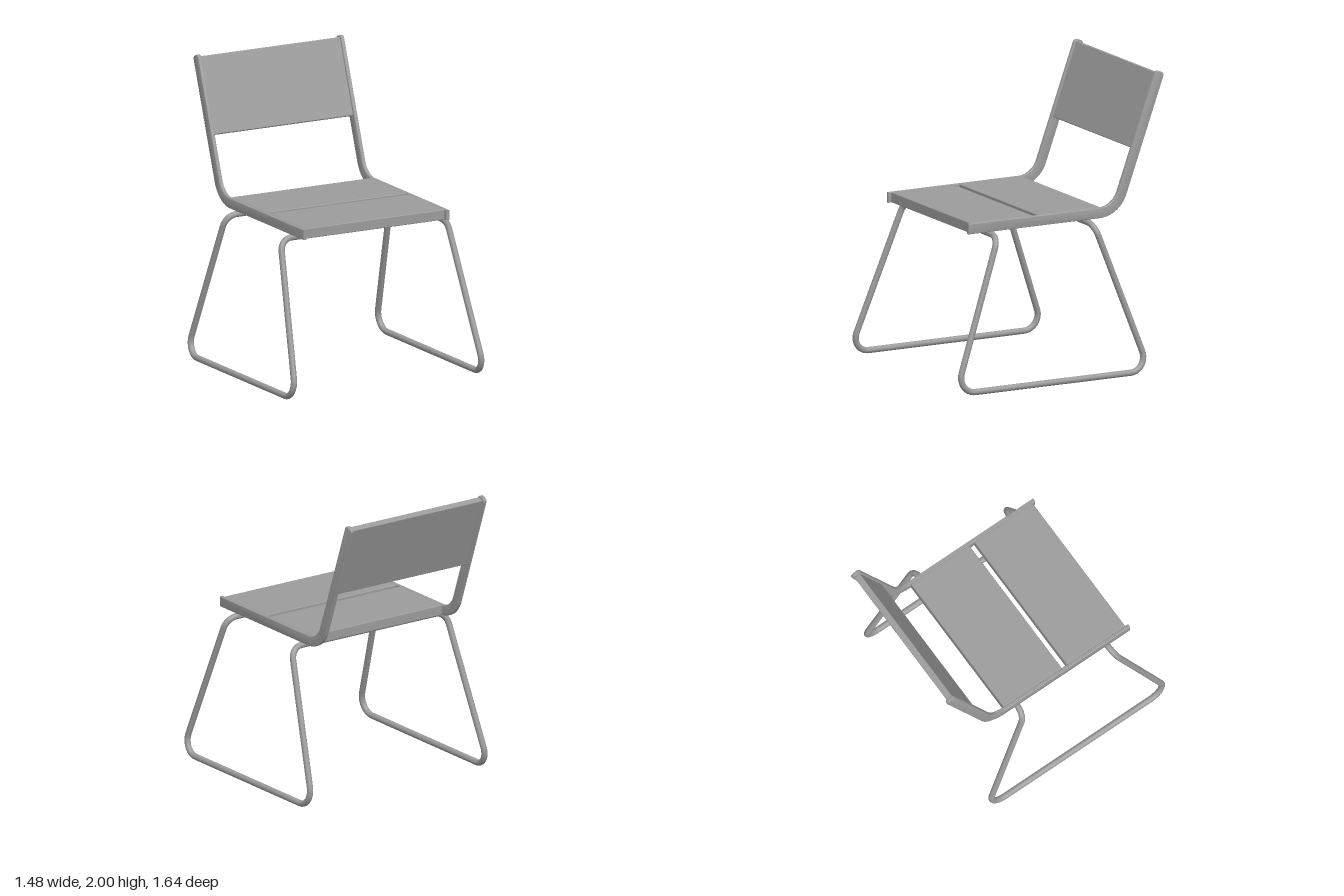
import * as THREE from 'three';
import { toCreasedNormals } from 'three/addons/utils/BufferGeometryUtils.js';
import { RoundedBoxGeometry } from 'three/addons/geometries/RoundedBoxGeometry.js';

const TILT = THREE.MathUtils.degToRad(20);   // lean of the backrest

// Closed path through corners, each rounded by a circular fillet
function filletLoop(corners) {
  const path = new THREE.CurvePath();
  const n = corners.length;
  const bends = corners.map(({ p, r }, i) => {
    const toPrev = corners[(i + n - 1) % n].p.clone().sub(p).normalize();
    const toNext = corners[(i + 1) % n].p.clone().sub(p).normalize();
    const turn = Math.PI - toPrev.angleTo(toNext);
    const t = r * Math.tan(turn / 2);
    const h = t - r * (4 / 3) * Math.tan(turn / 4);
    const on = (dir, d) => p.clone().addScaledVector(dir, d);
    return new THREE.CubicBezierCurve3(on(toPrev, t), on(toPrev, h), on(toNext, h), on(toNext, t));
  });
  bends.forEach((bend, i) => {
    path.add(bend);
    path.add(new THREE.LineCurve3(bend.v3, bends[(i + 1) % n].v0));
  });
  return path;
}

// Flat side rail: horizontal run, bend, leaning upright with rounded top corners
function railGeometry(width) {
  const cz = -0.34, cy = 1.265, inner = 0.145, outer = 0.215;
  const mid = (inner + outer) / 2, length = 0.817;
  const corner = 0.025, flat = (outer - inner) / 2 - corner, bevel = 0.005;
  const s = Math.sin(TILT), c = Math.cos(TILT);
  const capZ = cz - mid * c - length * s;
  const capY = cy - mid * s + length * c;
  const down = -Math.PI / 2, lean = -Math.PI + TILT;
  const shape = new THREE.Shape();
  shape.moveTo(0.655, cy - inner);
  shape.lineTo(0.655, cy - outer);
  shape.absarc(cz, cy, outer, down, lean, true);
  shape.absarc(capZ - flat * c, capY - flat * s, corner, lean, lean - Math.PI / 2, true);
  shape.absarc(capZ + flat * c, capY + flat * s, corner, lean - Math.PI / 2, lean - Math.PI, true);
  shape.absarc(cz, cy, inner, lean, down, false);
  shape.closePath();
  const geo = new THREE.ExtrudeGeometry(shape, {
    depth: width - 2 * bevel, curveSegments: 16,
    bevelThickness: bevel, bevelSize: bevel, bevelOffset: -bevel, bevelSegments: 3,
  });
  geo.translate(0, 0, bevel - width / 2).rotateY(-Math.PI / 2);
  return toCreasedNormals(geo, 0.7);
}

export function createModel() {
  const group = new THREE.Group();
  const material = new THREE.MeshStandardMaterial({ color: 0x9b9b9b });
  const add = (name, geometry, x = 0, y = 0, z = 0) => {
    const mesh = new THREE.Mesh(geometry, material);
    mesh.name = name;
    mesh.position.set(x, y, z);
    group.add(mesh);
    return mesh;
  };

  // Side rails
  const rail = railGeometry(0.026);
  add('leftRail', rail, 0.542);
  add('rightRail', rail, -0.542);

  // Two seat slats with a gap between them
  const slat = new RoundedBoxGeometry(1.06, 0.07, 0.473, 2, 0.006);
  add('frontSeatSlat', slat, 0, 1.086, 0.396);
  add('rearSeatSlat', slat, 0, 1.086, -0.117);

  // Leaning back panel
  const back = add('backPanel', new RoundedBoxGeometry(1.06, 0.527, 0.045, 2, 0.006), 0, 1.735, -0.701);
  back.rotation.x = -TILT;

  // Sled base: one continuous bent tube
  const v = (x, y, z) => new THREE.Vector3(x, y, z);
  const top = (x, z) => ({ p: v(x, 1.03, z), r: 0.09 });
  const foot = (x, z) => ({ p: v(x, 0.021, z), r: 0.1 });
  const loop = filletLoop([
    top(-0.628, 0.475), top(0.628, 0.475),
    foot(0.72, 0.844), foot(0.72, -0.622),
    top(0.628, -0.255), top(-0.628, -0.255),
    foot(-0.72, -0.622), foot(-0.72, 0.844),
  ]);
  add('sledBase', new THREE.TubeGeometry(loop, 480, 0.021, 14, true));

  return group;
}
